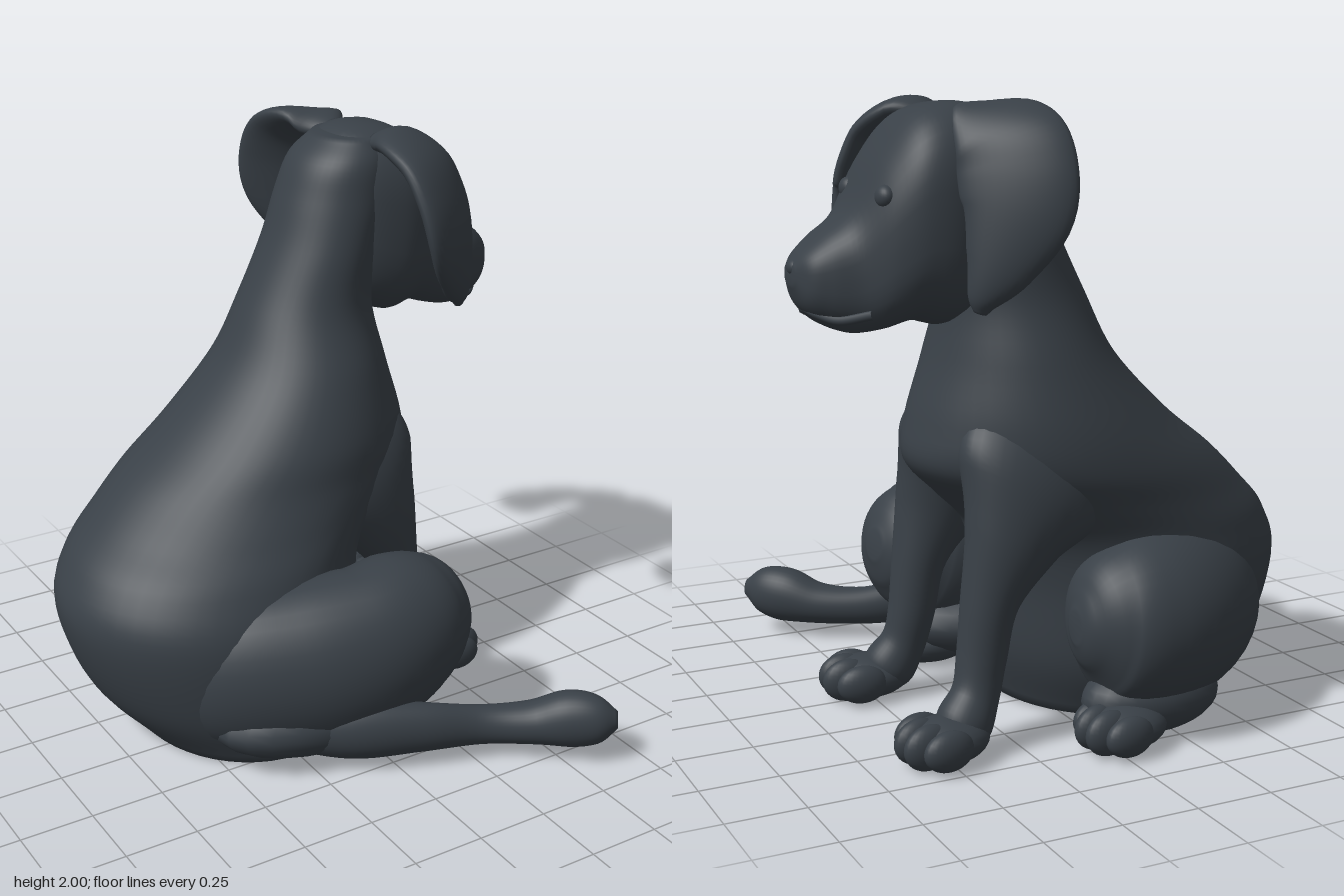
import * as THREE from 'three';

const coat = new THREE.MeshStandardMaterial({ color: 0x394047 });
coat.name = 'charcoal';

// Smooth skin through stations [x, y, z, halfA, halfB]. The rings lie square to
// the path, or to a fixed axis; power below 1 makes them boxier.
function loft(stations, uDir, { axis = null, power = 1, steps = 6, sides = 36 } = {}) {
  const centres = new THREE.CatmullRomCurve3(stations.map(s => new THREE.Vector3(s[0], s[1], s[2])), false, 'catmullrom', 0.5);
  const radii = new THREE.CatmullRomCurve3(stations.map(s => new THREE.Vector3(s[3], s[4], 0)), false, 'catmullrom', 0.5);
  const n = (stations.length - 1) * steps;
  const pos = [], idx = [];
  const shape = c => Math.sign(c) * Math.pow(Math.abs(c), power);
  const ring = (t, scale) => {
    const c = centres.getPoint(t), r = radii.getPoint(t);
    const dir = axis ? axis.clone() : centres.getTangent(t);
    const u = uDir.clone().addScaledVector(dir, -uDir.dot(dir)).normalize();
    const v = dir.clone().cross(u);
    for (let j = 0; j < sides; j++) {
      const a = j / sides * Math.PI * 2;
      const p = c.clone()
        .addScaledVector(u, shape(Math.cos(a)) * Math.max(r.x, 0.001) * scale)
        .addScaledVector(v, shape(Math.sin(a)) * Math.max(r.y, 0.001) * scale);
      pos.push(p.x, p.y, p.z);
    }
  };
  ring(0, 0.001);
  for (let i = 0; i <= n; i++) ring(i / n, 1);
  ring(1, 0.001);
  for (let i = 0; i < n + 2; i++) {
    for (let j = 0; j < sides; j++) {
      const k = (j + 1) % sides;
      const a = i * sides + j, b = i * sides + k, c = a + sides, d = b + sides;
      idx.push(a, b, c, b, d, c);
    }
  }
  const g = new THREE.BufferGeometry();
  g.setAttribute('position', new THREE.Float32BufferAttribute(pos, 3));
  g.setIndex(idx);
  g.computeVertexNormals();
  return g;
}

const X = new THREE.Vector3(1, 0, 0), Y = new THREE.Vector3(0, 1, 0);

export function createModel() {
  const dog = new THREE.Group();
  dog.name = 'sittingDog';
  const add = (name, geometry, parent = dog) => {
    const m = new THREE.Mesh(geometry, coat);
    m.name = name;
    parent.add(m);
    return m;
  };
  const ball = (name, x, y, z, rx, ry, rz, parent = dog) => {
    const m = add(name, new THREE.SphereGeometry(1, 24, 16), parent);
    m.position.set(x, y, z);
    m.scale.set(rx, ry, rz);
    return m;
  };

  // Torso and neck: y, x range, z range
  const torso = [
    [0.005, -0.62, 0.1, -0.55, 0.3], [0.2, -0.785, 0.16, -0.66, 0.32],
    [0.46, -0.87, 0.19, -0.69, 0.31], [0.62, -0.82, 0.24, -0.69, 0.25],
    [0.74, -0.705, 0.36, -0.70, 0.18], [0.86, -0.57, 0.475, -0.715, 0.13],
    [1.0, -0.39, 0.465, -0.70, 0.1], [1.2, -0.19, 0.41, -0.645, 0.02],
    [1.4, -0.08, 0.38, -0.585, -0.08], [1.6, 0.02, 0.42, -0.57, -0.11],
    [1.76, 0.08, 0.48, -0.57, -0.13], [1.88, 0.135, 0.48, -0.55, -0.15],
    [1.96, 0.22, 0.46, -0.49, -0.2],
  ].map(([y, x0, x1, z0, z1]) => [(x0 + x1) / 2, y, (z0 + z1) / 2, (x1 - x0) / 2, (z1 - z0) / 2]);
  add('torso', loft(torso, X, { axis: Y, sides: 48 }));

  // Skull and muzzle: x, y range, z range
  const head = [
    [0.2, 1.62, 1.9, -0.48, -0.24], [0.29, 1.42, 1.975, -0.57, -0.14],
    [0.42, 1.32, 1.985, -0.62, -0.1], [0.53, 1.335, 1.945, -0.615, -0.11],
    [0.62, 1.31, 1.83, -0.57, -0.125], [0.7, 1.3, 1.67, -0.495, -0.15],
    [0.78, 1.33, 1.6, -0.45, -0.17], [0.835, 1.38, 1.55, -0.41, -0.205],
    [0.865, 1.45, 1.51, -0.34, -0.26],
  ].map(([x, y0, y1, z0, z1]) => [x, (y0 + y1) / 2, (z0 + z1) / 2, (y1 - y0) / 2, (z1 - z0) / 2]);
  add('head', loft(head, Y, { axis: X, power: 0.74, sides: 40 }));

  // Eyes, nose and lips
  ball('nearEye', 0.645, 1.725, -0.235, 0.03, 0.035, 0.04);
  ball('farEye', 0.635, 1.715, -0.5, 0.03, 0.035, 0.04);
  ball('nose', 0.848, 1.5, -0.305, 0.024, 0.025, 0.035);
  const lip = new THREE.CatmullRomCurve3([
    [0.68, 1.37, -0.155], [0.76, 1.35, -0.2], [0.805, 1.365, -0.25],
    [0.815, 1.375, -0.31], [0.805, 1.365, -0.37], [0.76, 1.35, -0.43], [0.68, 1.37, -0.5],
  ].map(p => new THREE.Vector3(...p)));
  add('lip', new THREE.TubeGeometry(lip, 32, 0.014, 8));

  // Drooping ears, widest near the fold and tapering to a forward tip
  add('nearEar', loft([
    [0.38, 1.94, -0.23, 0.05, 0.03], [0.41, 1.955, -0.14, 0.12, 0.045],
    [0.435, 1.9, -0.02, 0.165, 0.05], [0.455, 1.8, 0.05, 0.185, 0.05],
    [0.475, 1.68, 0.08, 0.175, 0.05], [0.525, 1.54, 0.05, 0.115, 0.045],
    [0.565, 1.44, 0.01, 0.055, 0.035], [0.575, 1.395, 0.0, 0.02, 0.015],
  ], new THREE.Vector3(0.8, 0, -0.6)));
  add('farEar', loft([
    [0.37, 1.93, -0.5, 0.05, 0.03], [0.355, 1.945, -0.6, 0.12, 0.045],
    [0.34, 1.89, -0.7, 0.16, 0.05], [0.335, 1.8, -0.755, 0.175, 0.05],
    [0.345, 1.68, -0.78, 0.165, 0.05], [0.39, 1.54, -0.765, 0.11, 0.045],
    [0.43, 1.44, -0.74, 0.055, 0.035], [0.44, 1.39, -0.73, 0.02, 0.015],
  ], new THREE.Vector3(0.8, 0, 0.6)));

  // Rounded paw with four shallow toes pointing along +x
  const paw = (name, x, z, yaw) => {
    const g = new THREE.Group();
    g.name = name;
    ball('pad', -0.03, 0.07, 0, 0.14, 0.073, 0.112, g);
    for (let i = 0; i < 4; i++) {
      const inner = i === 1 || i === 2;
      ball('toe', inner ? 0.05 : 0.015, 0.07, (i - 1.5) * 0.06, 0.085, inner ? 0.072 : 0.064, 0.042, g);
    }
    g.position.set(x, 0.002, z);
    g.rotation.y = yaw;
    dog.add(g);
  };

  // Front legs, broad at the shoulder where they sink into the chest
  for (const [name, z, out] of [['nearFront', -0.03, 1], ['farFront', -0.575, -1]]) {
    add(name + 'Leg', loft([
      [0.06, 1.08, z - out * 0.12, 0.1, 0.06], [0.12, 0.95, z - out * 0.055, 0.25, 0.12],
      [0.18, 0.81, z - out * 0.02, 0.26, 0.14], [0.26, 0.66, z, 0.165, 0.12],
      [0.335, 0.48, z, 0.095, 0.092], [0.365, 0.3, z, 0.08, 0.078],
      [0.39, 0.19, z + out * 0.01, 0.077, 0.073], [0.44, 0.1, z + out * 0.025, 0.09, 0.085],
      [0.48, 0.04, z + out * 0.03, 0.05, 0.05],
    ], X));
    paw(name + 'Paw', 0.535, z + out * 0.05, -out * 0.12);
  }

  // Haunches with the folded lower legs
  add('nearHaunch', loft([
    [-0.62, 0.3, 0.0, 0.16, 0.1], [-0.44, 0.3, 0.13, 0.27, 0.2],
    [-0.2, 0.32, 0.245, 0.3, 0.235], [0.0, 0.355, 0.31, 0.295, 0.235],
    [0.16, 0.405, 0.31, 0.268, 0.23], [0.28, 0.43, 0.29, 0.21, 0.185],
    [0.345, 0.44, 0.275, 0.14, 0.125], [0.38, 0.445, 0.268, 0.05, 0.045],
  ], Y));
  add('farHaunch', loft([
    [-0.62, 0.34, -0.36, 0.16, 0.13], [-0.45, 0.35, -0.51, 0.25, 0.22],
    [-0.28, 0.36, -0.61, 0.285, 0.25], [-0.12, 0.37, -0.655, 0.275, 0.24],
    [-0.01, 0.38, -0.665, 0.22, 0.19], [0.06, 0.38, -0.67, 0.13, 0.11],
    [0.09, 0.38, -0.67, 0.05, 0.04],
  ], Y));
  ball('nearShank', -0.12, 0.15, 0.24, 0.42, 0.145, 0.23);
  ball('nearHindFoot', 0.18, 0.075, 0.23, 0.16, 0.07, 0.1);
  ball('farShank', -0.18, 0.125, -0.68, 0.24, 0.12, 0.14);
  paw('farHindPaw', -0.01, -0.765, 0.1);

  // Tail swept round along the ground, thick at the tip
  add('tail', loft([
    [-0.3, 0.14, 0.28, 0.09, 0.09], [-0.12, 0.14, 0.43, 0.11, 0.09],
    [0.08, 0.135, 0.54, 0.09, 0.065], [0.28, 0.115, 0.605, 0.07, 0.06],
    [0.43, 0.12, 0.69, 0.075, 0.075], [0.53, 0.145, 0.77, 0.1, 0.085],
    [0.6, 0.155, 0.84, 0.085, 0.068], [0.65, 0.16, 0.882, 0.03, 0.025],
  ], Y));

  return dog;
}
